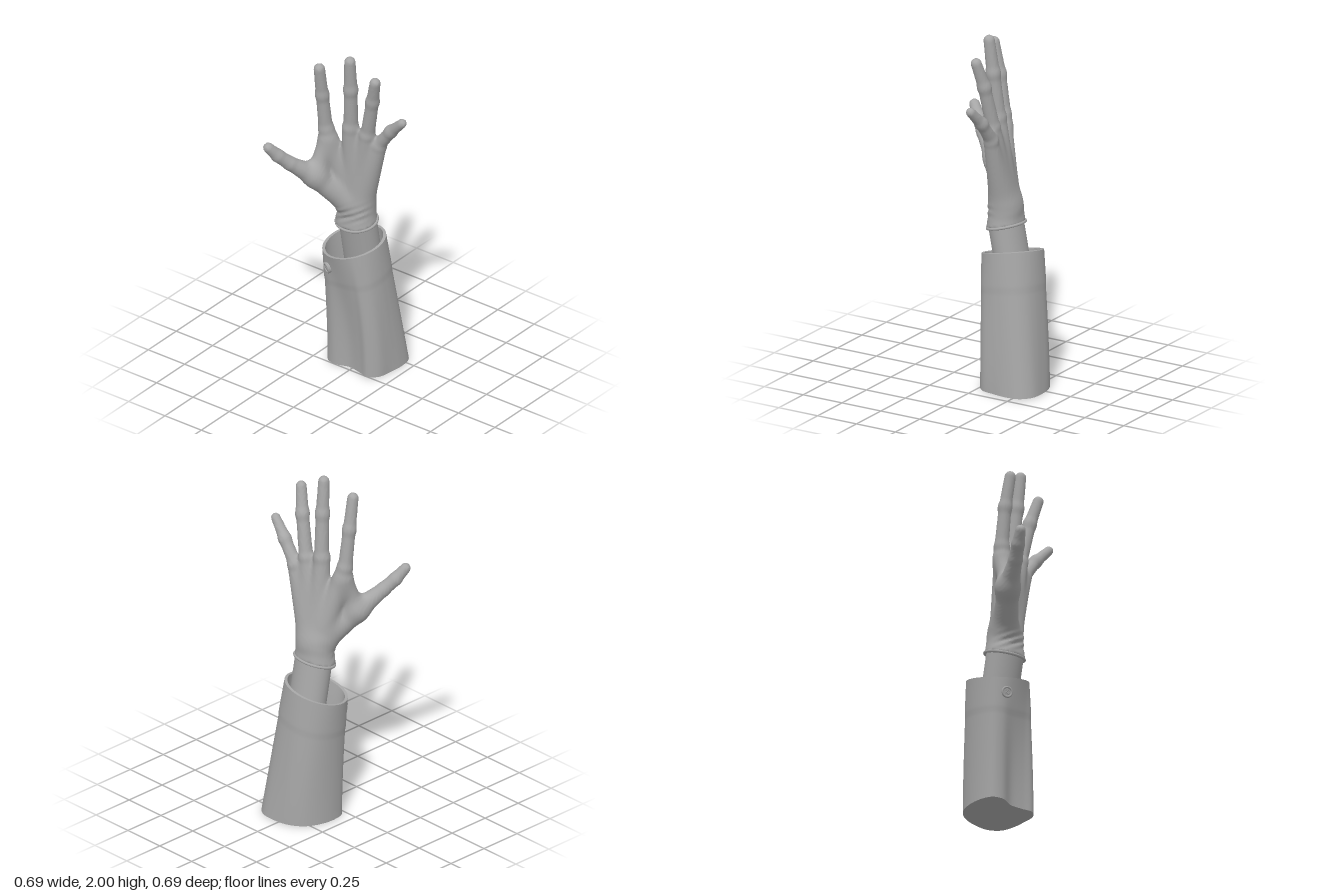
import * as THREE from 'three';

const grey = new THREE.MeshStandardMaterial({ color: 0xa6a6a6, side: THREE.DoubleSide });
grey.name = 'matte grey';

const mix = THREE.MathUtils.lerp;
const clamp = THREE.MathUtils.clamp;

function part(name, geometry) {
  const mesh = new THREE.Mesh(geometry, grey);
  mesh.name = name;
  return mesh;
}

// Closed rings of points f(u, v), stacked from v = 0 to v = 1
function loft(cols, rows, f) {
  const pos = [], idx = [];
  for (let j = 0; j <= rows; j++)
    for (let i = 0; i < cols; i++) pos.push(...f(i / cols, j / rows));
  for (let j = 0; j < rows; j++)
    for (let i = 0; i < cols; i++) {
      const a = j * cols + i, b = j * cols + (i + 1) % cols;
      idx.push(a, b, b + cols, a, b + cols, a + cols);
    }
  const g = new THREE.BufferGeometry();
  g.setAttribute('position', new THREE.Float32BufferAttribute(pos, 3));
  g.setIndex(idx);
  g.computeVertexNormals();
  return g;
}

// Sleeve: wavy D-shaped bottom blending into an oval, slanted cuff
const bottom = new THREE.CatmullRomCurve3([
  [0.05, -0.345], [-0.05, -0.33], [-0.13, -0.28], [-0.175, -0.2], [-0.19, -0.1], [-0.17, -0.025],
  [-0.11, 0.0], [-0.02, -0.025], [0.06, -0.012], [0.12, 0.003], [0.172, -0.04], [0.19, -0.12],
  [0.2, -0.2], [0.187, -0.285], [0.13, -0.335],
].map(([x, z]) => new THREE.Vector3(x, 0, z)), true);

function sleevePoint(u, t, inset = 0) {
  const b = bottom.getPoint(u);
  const a = Math.atan2(b.z + 0.17, b.x - 0.005), c = Math.cos(a), s = Math.sin(a);
  const tx = -0.045 + 0.175 * c, tz = -0.1 + 0.165 * s;
  const k = Math.pow(t, 1 + Math.max(0, s, -0.8 * c));
  const out = 0.003 * THREE.MathUtils.smoothstep(t, 0.72, 0.76) - inset;
  const y = t * (0.755 + 0.2 * (tx + 0.045) - 0.2 * (tz + 0.1));
  return [mix(b.x, tx, k) + out * c, y, mix(b.z, tz, k) + out * s];
}

function makeSleeve() {
  const sleeve = new THREE.Group();
  sleeve.name = 'sleeve';
  sleeve.add(
    part('sleeveOuter', loft(80, 40, (u, v) => sleevePoint(u, v))),
    part('sleeveRim', loft(80, 1, (u, v) => sleevePoint(u, 1, 0.016 * v))),
    part('sleeveLining', loft(80, 16, (u, v) => sleevePoint(u, 1 - 0.98 * v, 0.016))),
    part('sleeveBottom', loft(80, 1, (u, v) => {
      const p = bottom.getPoint(u);
      return [mix(0.005, p.x, v), 0, mix(-0.17, p.z, v)];
    })));
  return sleeve;
}

// Round cuff button with a raised edge and four dimples
function makeButton() {
  const button = new THREE.Group();
  button.name = 'cuffButton';
  const disc = part('buttonDisc', new THREE.CylinderGeometry(0.03, 0.032, 0.012, 32));
  disc.rotation.x = Math.PI / 2;
  const edge = part('buttonEdge', new THREE.TorusGeometry(0.027, 0.006, 10, 32));
  edge.position.z = 0.005;
  button.add(disc, edge);
  for (let i = 0; i < 4; i++) {
    const a = Math.PI / 4 + i * Math.PI / 2;
    const eye = part('buttonEye', new THREE.TorusGeometry(0.005, 0.002, 6, 12));
    eye.position.set(0.009 * Math.cos(a), 0.009 * Math.sin(a), 0.006);
    button.add(eye);
  }
  button.position.set(-0.122, 0.625, 0.038);
  button.lookAt(-0.122 - 0.42, 0.625 - 0.2, 0.038 + 0.88);
  return button;
}

// Hand: tapered bones [start, radius, end, radius, blend] melted into one skin
const bones = [];
function chain(blend, ...joints) {
  for (let i = 0; i + 1 < joints.length; i++) {
    const [ax, ay, az, ra] = joints[i], [bx, by, bz, rb] = joints[i + 1];
    const d = [bx - ax, by - ay, bz - az];
    bones.push({ a: [ax, ay, az], d, len2: d[0] ** 2 + d[1] ** 2 + d[2] ** 2, ra, rb, blend });
  }
}
// wrist
chain(0.02, [-0.038, 0.87, -0.08, 0.1], [-0.03, 1.03, -0.075, 0.082]);
chain(0.02, [0.014, 0.87, -0.08, 0.1], [0.008, 1.03, -0.08, 0.082]);
// palm rays
chain(0.035, [-0.04, 1.02, -0.07, 0.072], [-0.142, 1.49, 0.02, 0.041]);
chain(0.035, [-0.02, 1.02, -0.075, 0.072], [-0.015, 1.52, -0.025, 0.044]);
chain(0.035, [0.0, 1.02, -0.08, 0.072], [0.08, 1.49, -0.05, 0.043]);
chain(0.035, [0.015, 1.02, -0.08, 0.072], [0.143, 1.43, -0.078, 0.04]);
// thumb and its web
chain(0.04, [-0.06, 1.06, -0.03, 0.07], [-0.17, 1.215, 0.09, 0.06], [-0.245, 1.325, 0.215, 0.038]);
chain(0.05, [-0.165, 1.24, 0.08, 0.045], [-0.145, 1.42, 0.025, 0.04]);
chain(0.012, [-0.245, 1.325, 0.215, 0.039], [-0.285, 1.385, 0.27, 0.036], [-0.315, 1.446, 0.316, 0.029]);
// index, middle, ring and little finger
chain(0.022, [-0.147, 1.5, 0.022, 0.039], [-0.15, 1.72, 0.05, 0.035], [-0.144, 1.9, 0.083, 0.031]);
chain(0.022, [-0.012, 1.53, -0.028, 0.04], [0.004, 1.78, -0.005, 0.037], [0.014, 1.968, 0.015, 0.031]);
chain(0.022, [0.085, 1.51, -0.052, 0.039], [0.135, 1.74, -0.03, 0.035], [0.174, 1.884, -0.002, 0.03]);
chain(0.022, [0.145, 1.45, -0.08, 0.037], [0.23, 1.565, -0.072, 0.033], [0.318, 1.655, -0.056, 0.026]);

const hemY = (x, z) => 0.914 - 0.25 * (z + 0.08) + 0.06 * (x + 0.01);

function skin(x, y, z) {
  let dist = 1;
  for (const { a, d, len2, ra, rb, blend } of bones) {
    const px = x - a[0], py = y - a[1], pz = z - a[2];
    const h = clamp((px * d[0] + py * d[1] + pz * d[2]) / len2, 0, 1);
    const e = Math.hypot(px - d[0] * h, py - d[1] * h, pz - d[2] * h) - mix(ra, rb, h);
    const m = Math.max(blend - Math.abs(dist - e), 0) / blend;
    dist = Math.min(dist, e) - m * m * blend / 4;
  }
  // slanting wrinkles on the inner wrist
  const fold = Math.exp(-(((y - 0.985 - 0.3 * x) / 0.045) ** 2)) * clamp((z + 0.08) * 12, 0, 1);
  dist += 0.005 * fold * Math.sin(150 * (y - 0.55 * x));
  return Math.max(dist, hemY(x, z) - y);
}

// Quad skin over the field, one vertex per crossed cell
function makeHandGeometry() {
  const h = 0.01, lo = [-0.38, 0.85, -0.24], n = [76, 119, 63];
  const step = [1, n[0], n[0] * n[1]], field = new Float32Array(n[0] * n[1] * n[2]);
  const at = (i, j, k) => i + j * step[1] + k * step[2];
  const each = (from, fn) => {
    for (let k = from; k < n[2] - 1; k++)
      for (let j = from; j < n[1] - 1; j++)
        for (let i = from; i < n[0] - 1; i++) fn([i, j, k], at(i, j, k));
  };
  for (let k = 0; k < n[2]; k++)
    for (let j = 0; j < n[1]; j++)
      for (let i = 0; i < n[0]; i++)
        field[at(i, j, k)] = skin(lo[0] + i * h, lo[1] + j * h, lo[2] + k * h);
  const ids = new Int32Array(field.length).fill(-1), pos = [], idx = [];
  each(0, (cell, c) => {
    const sum = [0, 0, 0];
    let count = 0;
    for (let corner = 0; corner < 8; corner++) {
      const bit = [corner & 1, (corner >> 1) & 1, corner >> 2];
      const p = c + bit[0] * step[0] + bit[1] * step[1] + bit[2] * step[2];
      for (let d = 0; d < 3; d++) {
        if (bit[d]) continue;
        const f0 = field[p], f1 = field[p + step[d]];
        if ((f0 < 0) === (f1 < 0)) continue;
        for (let e = 0; e < 3; e++) sum[e] += bit[e] + (e === d ? f0 / (f0 - f1) : 0);
        count++;
      }
    }
    if (!count) return;
    ids[c] = pos.length / 3;
    for (let e = 0; e < 3; e++) pos.push(lo[e] + h * (cell[e] + sum[e] / count));
  });
  each(1, (cell, c) => {
    for (let d = 0; d < 3; d++) {
      const inside = field[c] < 0;
      if (inside === (field[c + step[d]] < 0)) continue;
      const u = step[(d + 1) % 3], v = step[(d + 2) % 3];
      const q = [c, c - u, c - u - v, c - v].map((m) => ids[m]);
      if (!inside) q.reverse();
      idx.push(q[0], q[1], q[2], q[0], q[2], q[3]);
    }
  });
  const g = new THREE.BufferGeometry();
  g.setAttribute('position', new THREE.Float32BufferAttribute(pos, 3));
  g.setIndex(idx);
  g.computeVertexNormals();
  return g;
}

export function createModel() {
  const model = new THREE.Group();
  model.name = 'raisedArm';
  model.add(makeSleeve(), makeButton());

  // forearm between sleeve and glove
  model.add(part('forearm', loft(48, 8, (u, v) => {
    const a = -u * Math.PI * 2;
    return [-0.007 + 0.113 * Math.cos(a), mix(0.4, 0.93, v), mix(-0.18, -0.079, v) + 0.093 * Math.sin(a)];
  })));

  // gloved hand with a rolled hem
  model.add(part('glovedHand', makeHandGeometry()));
  const hem = Array.from({ length: 24 }, (_, i) => {
    const a = i / 24 * Math.PI * 2, x = -0.012 + 0.121 * Math.cos(a), z = -0.08 + 0.098 * Math.sin(a);
    return new THREE.Vector3(x, hemY(x, z), z);
  });
  model.add(part('gloveHem', new THREE.TubeGeometry(new THREE.CatmullRomCurve3(hem, true), 72, 0.008, 8, true)));
  return model;
}
